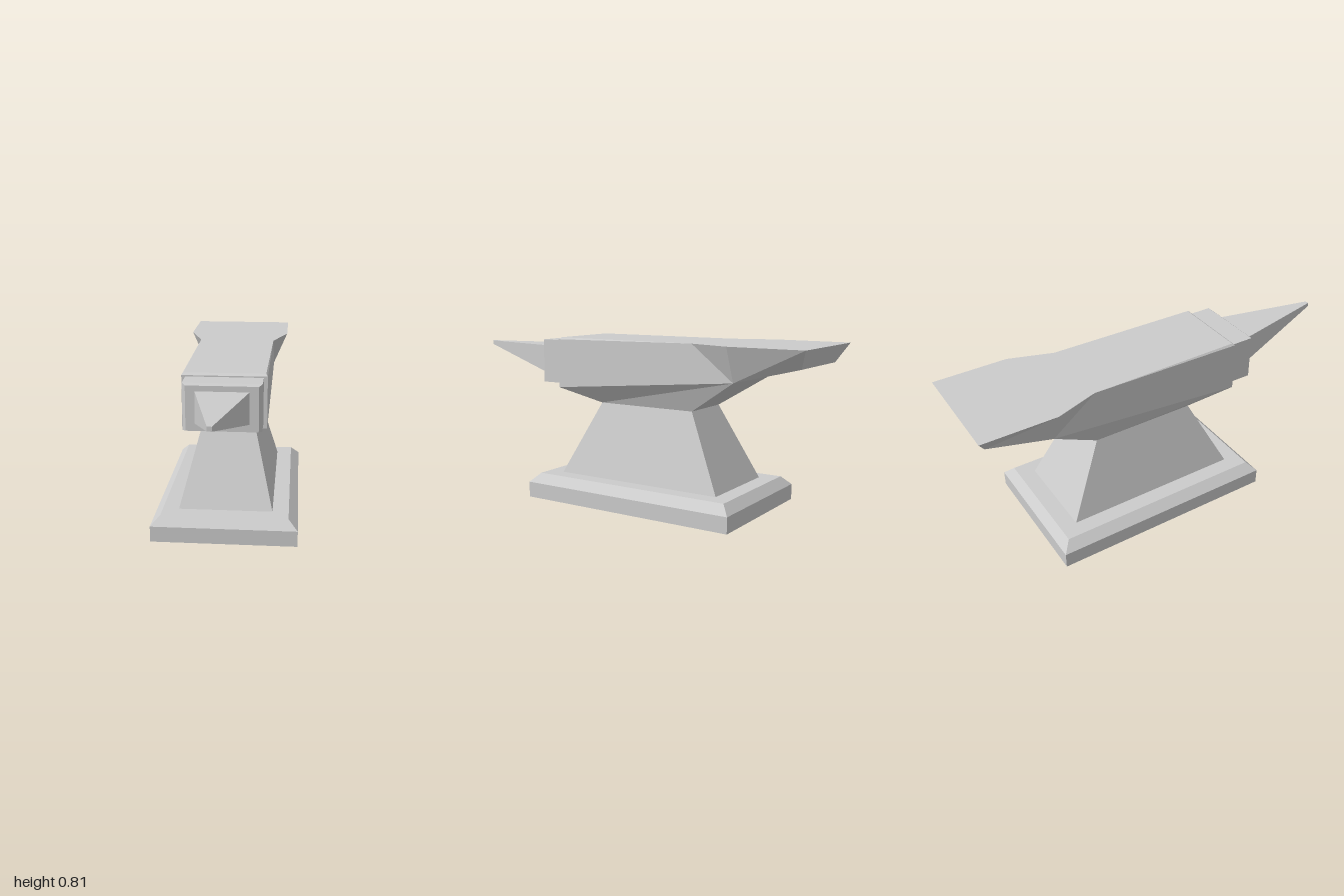
import * as THREE from 'three';

// Flat-shaded mesh from convex polygons, each a counter-clockwise list of [x, y, z]
function polyMesh(name, polygons, material) {
  const pos = [];
  for (const p of polygons) {
    for (let i = 1; i < p.length - 1; i++) pos.push(...p[0], ...p[i], ...p[i + 1]);
  }
  const geo = new THREE.BufferGeometry();
  geo.setAttribute('position', new THREE.Float32BufferAttribute(pos, 3));
  geo.computeVertexNormals();
  const mesh = new THREE.Mesh(geo, material);
  mesh.name = name;
  return mesh;
}

// Skin a series of four-cornered rings and close both ends
function loft(name, rings, material) {
  const faces = [[...rings[0]].reverse(), rings[rings.length - 1]];
  for (let r = 0; r < rings.length - 1; r++) {
    const a = rings[r], b = rings[r + 1];
    for (let k = 0; k < 4; k++) {
      const n = (k + 1) % 4;
      faces.push([a[k], a[n], b[n], b[k]]);
    }
  }
  return polyMesh(name, faces, material);
}

// Rectangles symmetric in x: level (at height y) and upright (at depth z)
const level = (y, w, back, front) => [[w, y, front], [w, y, back], [-w, y, back], [-w, y, front]];
const upright = (z, w, low, high) => [[-w, low, z], [w, low, z], [w, high, z], [-w, high, z]];

export function createModel() {
  const steel = new THREE.MeshStandardMaterial({ color: 0xcccccc });
  steel.name = 'steel grey';
  const anvil = new THREE.Group();
  anvil.name = 'anvil';

  // Bevelled foot plate
  anvil.add(loft('base', [
    level(0, 0.352, -0.697, 0.442),
    level(0.078, 0.352, -0.697, 0.442),
    level(0.122, 0.307, -0.655, 0.4),
  ], steel));

  // Tapered waist
  anvil.add(loft('waist', [
    level(0.122, 0.228, -0.573, 0.318),
    level(0.488, 0.133, -0.388, 0.135),
  ], steel));

  // Body and flared heel: corners of the left half, mirrored across x
  const footFront = [0.133, 0.488, 0.135], footBack = [0.133, 0.488, -0.388];
  const lowFront = [0.198, 0.557, 0.36], lowBack = [0.198, 0.645, -0.635];
  const rimFront = [0.198, 0.803, 0.36], topFront = [0.19, 0.813, 0.347];
  const topBack = [0.198, 0.813, -0.42];
  const flare = [0.27, 0.813, -0.635], heelTop = [0.27, 0.813, -1];
  const heelLow = [0.198, 0.725, -0.955];
  const mirror = ([x, y, z]) => [-x, y, z];

  const sides = [
    [footFront, footBack, lowBack, lowFront],
    [lowFront, lowBack, topBack, rimFront],
    [rimFront, topBack, topFront],
    [lowBack, flare, topBack],
    [lowBack, heelLow, heelTop, flare],
  ];
  const faces = sides.flatMap((f) => [f, f.map(mirror).reverse()]);
  // Faces spanning from left to right, all the way round the profile
  const profile = [topFront, topBack, flare, heelTop, heelLow, lowBack, footBack, footFront, lowFront, rimFront];
  profile.forEach((p, i) => {
    const q = profile[(i + 1) % profile.length];
    faces.push([p, q, mirror(q), mirror(p)]);
  });
  anvil.add(polyMesh('body', faces, steel));

  // Step block with chamfered front
  anvil.add(loft('step', [
    upright(0.35, 0.18, 0.577, 0.797),
    upright(0.474, 0.18, 0.577, 0.797),
    upright(0.486, 0.165, 0.577, 0.787),
  ], steel));

  // Flat-topped horn
  anvil.add(loft('horn', [
    upright(0.48, 0.124, 0.61, 0.761),
    upright(1, 0.01, 0.741, 0.761),
  ], steel));

  return anvil;
}
